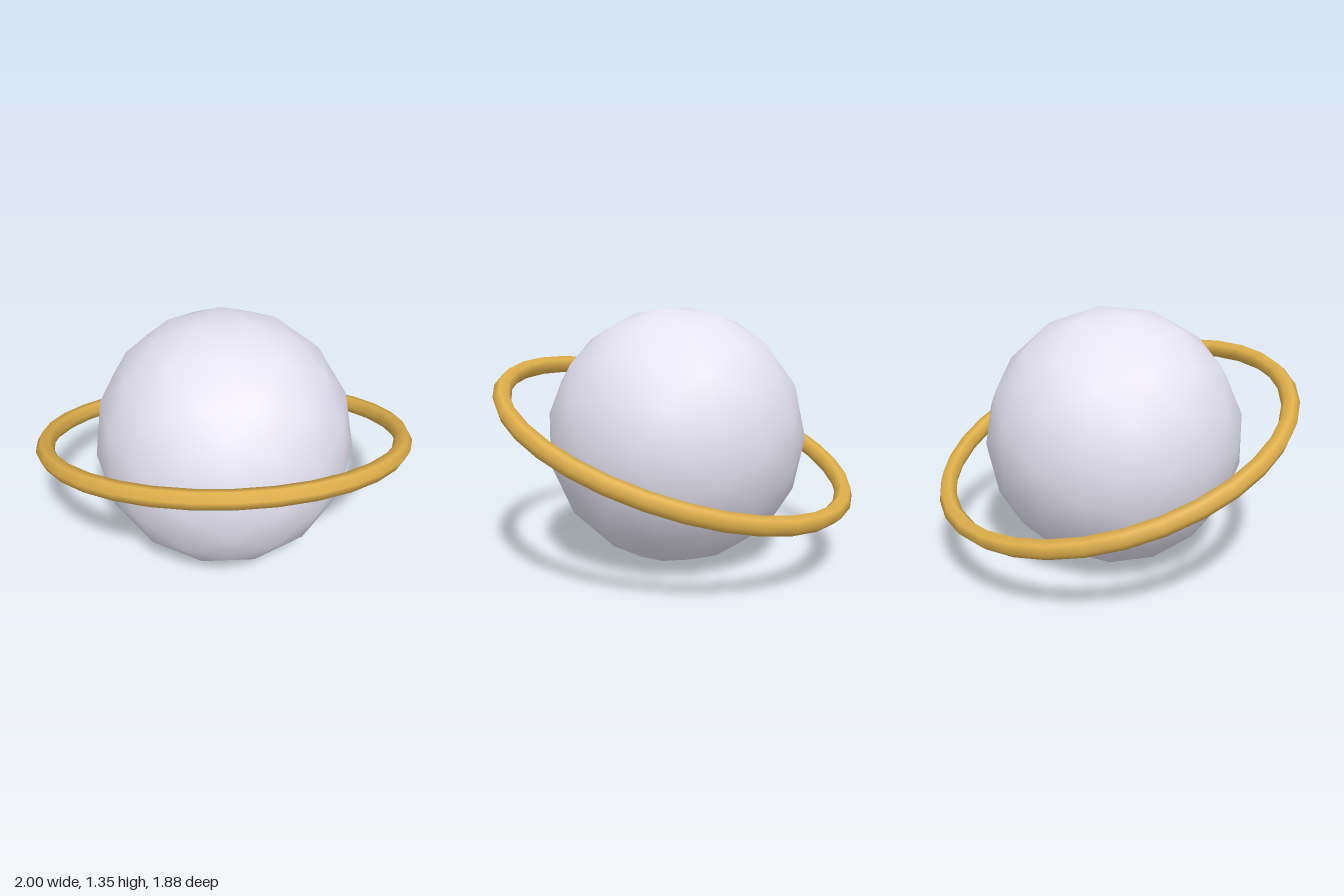
import * as THREE from 'three';

export function createModel() {
  const model = new THREE.Group();
  model.name = 'ringedPlanet';
  const centreY = 0.677;

  const add = (name, geometry, color) => {
    const mesh = new THREE.Mesh(geometry, new THREE.MeshStandardMaterial({ color }));
    mesh.name = name;
    mesh.position.y = centreY;
    model.add(mesh);
    return mesh;
  };

  // Globe: smooth-shaded subdivided icosahedron
  add('globe', new THREE.IcosahedronGeometry(0.691, 2), 0xe6e3f2);

  // Ring: six-sided tube, tilted 20 degrees with its front raised
  const ring = add('ring', new THREE.TorusGeometry(0.952, 0.048, 6, 32), 0xe0b04c);
  ring.rotation.x = THREE.MathUtils.degToRad(70);

  return model;
}
